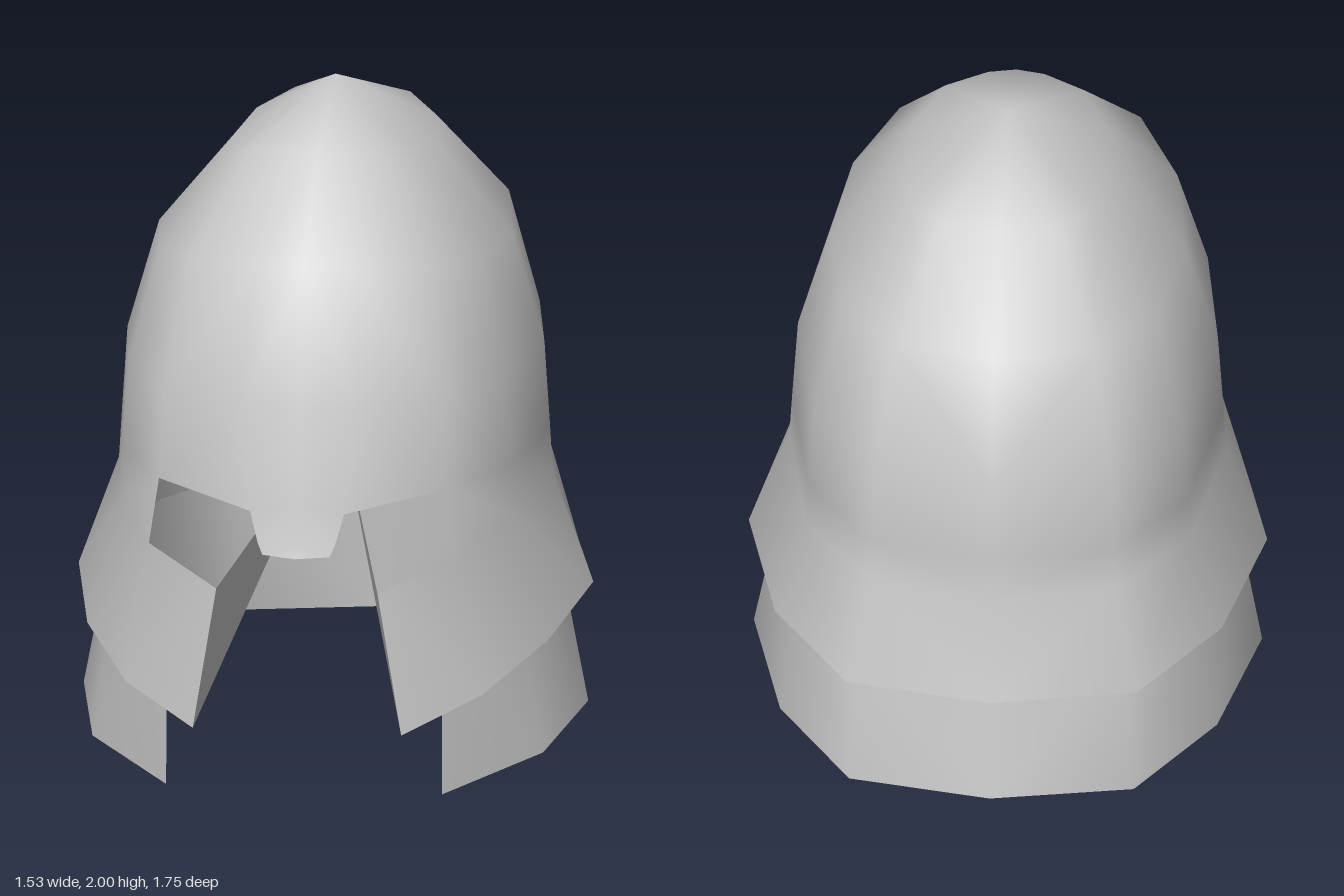
import * as THREE from 'three';
import { mergeVertices } from 'three/addons/utils/BufferGeometryUtils.js';

const material = new THREE.MeshStandardMaterial({ color: 0xcccccc, side: THREE.DoubleSide });

// Collects triangles of the left half together with their mirrored twins.
function addTriangle(out, a, b, c) {
  const mirror = ([x, y, z]) => [-x, y, z];
  out.push(...a, ...b, ...c, ...mirror(a), ...mirror(c), ...mirror(b));
}

// Skins rows of points (top row first, columns run from back to front).
function addRows(out, rows) {
  for (let r = 0; r < rows.length - 1; r++) {
    const top = rows[r], low = rows[r + 1];
    for (let c = 0; c < Math.min(top.length, low.length) - 1; c++) {
      if (r > 0 || top[c] !== top[c + 1]) addTriangle(out, top[c], top[c + 1], low[c]);
      addTriangle(out, top[c + 1], low[c + 1], low[c]);
    }
  }
}

function makeMesh(name, triangles) {
  let geometry = new THREE.BufferGeometry();
  geometry.setAttribute('position', new THREE.Float32BufferAttribute(triangles, 3));
  geometry = mergeVertices(geometry, 1e-4);
  geometry.computeVertexNormals();
  const mesh = new THREE.Mesh(geometry, material);
  mesh.name = name;
  return mesh;
}

export function createModel() {
  const group = new THREE.Group();
  group.name = 'helmet';

  // Half outline of the skull at its middle, back to front (x, z)
  const outline = [[0, -0.785], [0.35, -0.71], [0.545, -0.45], [0.62, -0.01],
    [0.565, 0.385], [0.42, 0.665], [0.17, 0.775], [0, 0.8]];
  const ring = (sx, back, front, ySide, yEnds) => outline.map(([x, z]) => {
    const t = (z / 0.8) ** 2;
    return [x * sx, ySide + (yEnds - ySide) * t, z * (z < 0 ? back : front)];
  });

  const apex = [0, 2, 0];
  const brow = ring(1.027, 1.013, 1.03, 0.94, 0.94);
  brow[5] = [0.43, 0.94, 0.69];
  brow[6] = [0.14, 0.89, 0.83];
  brow[7] = [0, 0.9, 0.845];

  // Lower edge of the eye openings, then the flared hem with cheek tips
  const waist = [[0, 0.8, -0.8], [0.36, 0.8, -0.725], [0.565, 0.8, -0.46], [0.645, 0.8, -0.01],
    [0.585, 0.78, 0.39], [0.46, 0.74, 0.69], [0.24, 0.65, 0.835]];
  const hem = [[0, 0.47, -0.87], [0.43, 0.47, -0.79], [0.66, 0.47, -0.455], [0.765, 0.47, -0.01],
    [0.685, 0.4, 0.385], [0.53, 0.31, 0.68], [0.31, 0.22, 0.835]];

  const shell = [];
  addRows(shell, [
    outline.map(() => apex),
    ring(0.49, 0.52, 0.49, 1.8, 1.86),
    ring(0.847, 0.866, 0.84, 1.53, 1.6),
    ring(1, 1, 1, 1.2, 1.2),
    brow,
  ]);
  addRows(shell, [brow.slice(0, 6), waist.slice(0, 6)]);
  addRows(shell, [waist, hem]);

  // Short nose guard
  addRows(shell, [
    [brow[6], brow[7]],
    [[0.115, 0.8, 0.85], [0, 0.8, 0.865]],
    [[0.1, 0.765, 0.857], [0, 0.76, 0.875]],
  ]);
  group.add(makeMesh('shell', shell));

  // Inner flanges running back from the cheek edges
  const flanges = [];
  addTriangle(flanges, waist[6], [0.035, 0.885, 0.05], hem[6]);
  group.add(makeMesh('cheekFlanges', flanges));

  // Neck guard, tucked inside the shell and open at the front
  const neck = [];
  addRows(neck, [
    [[0, 0.55, -0.815], [0.39, 0.55, -0.735], [0.58, 0.55, -0.43], [0.665, 0.55, -0.01],
      [0.6, 0.55, 0.385], [0.41, 0.55, 0.67]],
    [[0, 0.12, -0.87], [0.42, 0.115, -0.79], [0.645, 0.11, -0.45], [0.75, 0.105, -0.01],
      [0.67, 0.055, 0.385], [0.41, 0, 0.68]],
  ]);
  group.add(makeMesh('neckGuard', neck));

  return group;
}
